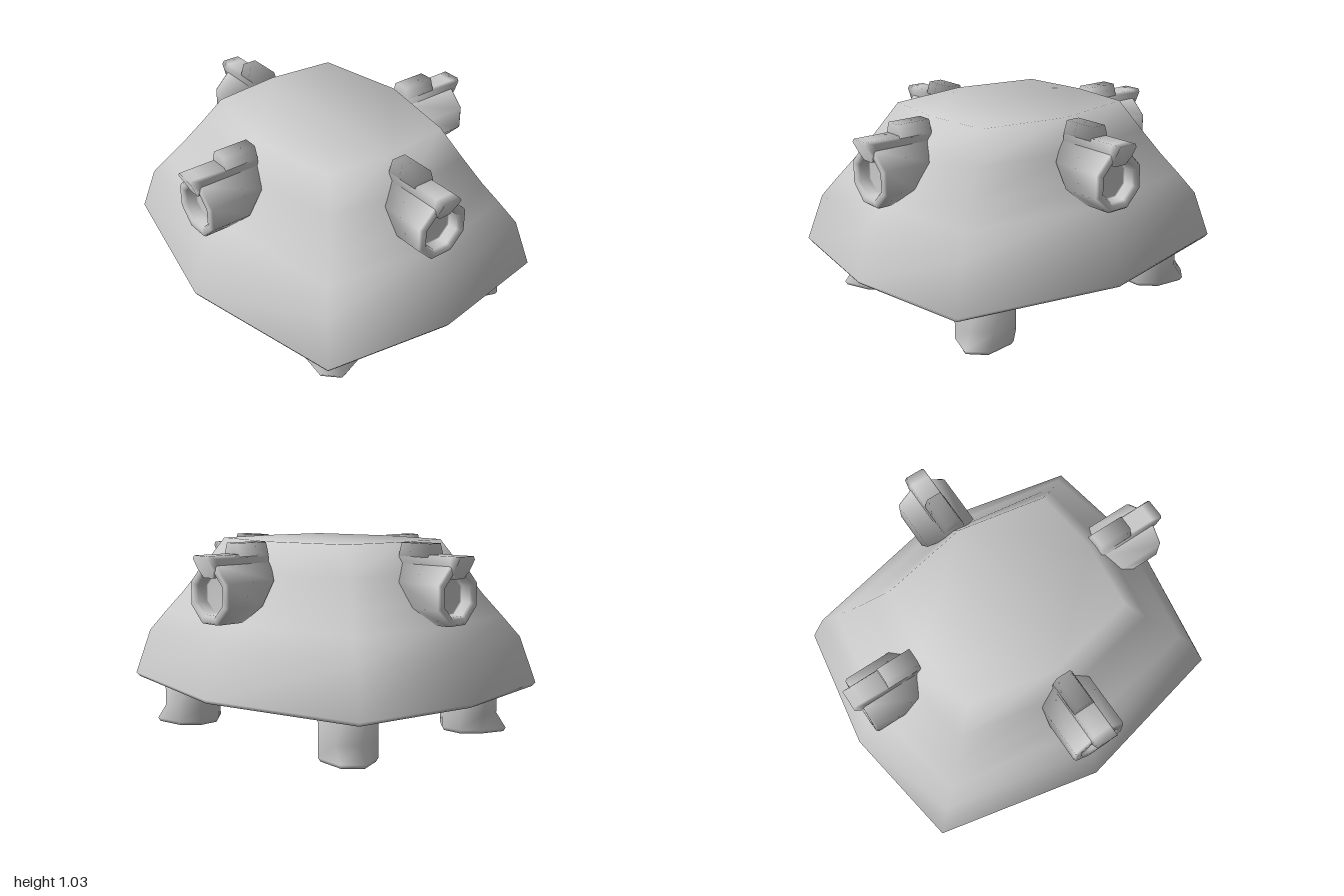
import * as THREE from 'three';

const material = new THREE.MeshStandardMaterial({ color: 0xcccccc });
const V = (x, y, z) => new THREE.Vector3(x, y, z);

// Skin a stack of eight-sided rings. The caps are corner ears plus a diamond,
// and the normals of the end rings lean towards the cap by the share capBlend.
function loft(rings, capStart, capEnd, axis, capBlend) {
  const index = [];
  for (let i = 0; i < rings.length - 1; i++) {
    for (let j = 0; j < 8; j++) {
      const a = i * 8 + j, b = i * 8 + (j + 1) % 8;
      index.push(a, b, b + 8, a, b + 8, a + 8);
    }
  }
  const geometry = new THREE.BufferGeometry().setFromPoints(rings.flat());
  geometry.setIndex(index);
  geometry.computeVertexNormals();
  const last = (rings.length - 1) * 8;
  const normals = geometry.attributes.normal;
  const addCap = (first, direction) => {
    for (const [a, b, c] of [[0, 1, 2], [2, 3, 4], [4, 5, 6], [6, 7, 0], [0, 2, 4], [0, 4, 6]]) {
      if (direction > 0) index.push(first + a, first + b, first + c);
      else index.push(first + a, first + c, first + b);
    }
    const facing = axis.clone().multiplyScalar(direction);
    for (let i = first; i < first + 8; i++) {
      const n = V().fromBufferAttribute(normals, i).lerp(facing, capBlend).normalize();
      normals.setXYZ(i, n.x, n.y, n.z);
    }
  };
  if (capStart) addCap(0, -1);
  if (capEnd) addCap(last, 1);
  geometry.setIndex(index);
  return geometry;
}

const UP = V(0, 1, 0), OUT = V(0, 0, 1);

function addMesh(parent, name, geometry) {
  const mesh = new THREE.Mesh(geometry, material);
  mesh.name = name;
  parent.add(mesh);
}

// Horizontal shell ring: side half widths X and Z, corner at (cx, cz)
const shellRing = ([y, X, Z, cx, cz]) =>
  [[0, Z], [cx, cz], [X, 0], [cx, -cz], [0, -Z], [-cx, -cz], [-X, 0], [-cx, cz]]
    .map(([x, z]) => V(x, y, z));

// Ring shaped like the shell's lower edge, scaled by k
const edgeRing = ([y, k]) => shellRing([y, 0.885 * k, k, 0.69 * k, 0.89 * k]);

function addShell(parent) {
  const profile = [
    [0.255, 0.885, 1, 0.69, 0.89],
    [0.505, 0.81, 0.925, 0.64, 0.815],
    [0.62, 0.705, 0.835, 0.575, 0.74],
    [0.73, 0.62, 0.75, 0.51, 0.665],
    [0.87, 0.545, 0.64, 0.44, 0.575],
    [1.03, 0.455, 0.515, 0.365, 0.475],
  ];
  const lip = [0.238, 0.9];
  addMesh(parent, 'shell', loft(
    [edgeRing(lip), edgeRing([0.235, 0.985]), ...profile.map(shellRing)], false, true, UP, 0.5));
  // Sloping recess in the underside
  addMesh(parent, 'underside', loft(
    [[0.5, 0.3], [0.415, 0.5], [0.34, 0.72], lip].map(edgeRing), true, false, UP, 0.5));
}

// Octagonal leg whose foot flares outwards to a toe
function addLeg(parent, name, x, z) {
  const sx = Math.sign(x), sz = Math.sign(z);
  const rings = [[0, 0.145, 1], [0.02, 0.158, 1], [0.1, 0.158, 0], [0.45, 0.158, 0]]
    .map(([y, r, toe]) => Array.from({ length: 8 }, (_, k) => {
      const a = (k + 0.5) * Math.PI / 4;
      const dx = r * Math.sin(a), dz = r * Math.cos(a);
      const push = sx * dx > 0 && sz * dz > 0 ? toe : 0;
      return V(x + dx + sx * push * 0.02, y, z + dz + sz * push * 0.05);
    }));
  addMesh(parent, name, loft(rings, true, true, UP, 0.4));
}

// Complete the right half of a rail section with its mirror image
const mirrored = (half) => [...half, ...half.map(([x, y]) => [-x, y]).reverse()];

// Cannon facing local +z with its muzzle at z = 0; the rear is cut to the shell slope
function makeCannon(name, rearLow, rearHigh) {
  const cannon = new THREE.Group();
  cannon.name = name;
  const octagon = (r, zAt) => Array.from({ length: 8 }, (_, k) => {
    const a = (k + 0.5) * Math.PI / 4;
    const y = r * Math.sin(a);
    return V(r * Math.cos(a), y, zAt(y));
  });
  const rear = (y) => THREE.MathUtils.mapLinear(y, -0.15, 0.15, rearLow, rearHigh);
  const barrel = [octagon(0.16, rear)];
  for (const [r, z] of [[0.16, -0.012], [0.15, 0], [0.122, 0], [0.11, -0.015], [0.106, -0.065], [0.1, -0.07]]) {
    barrel.push(octagon(r, () => z));
  }
  addMesh(cannon, 'barrel', loft(barrel, true, true, OUT, 0.9));

  // Long rail along the top, with an overhanging front lip
  const railSection = mirrored([[0.035, 0.085], [0.06, 0.125], [0.06, 0.18], [0.05, 0.197]]);
  const rail = [
    railSection.map(([x, y]) => V(x, y, -0.345)),
    railSection.map(([x, y]) => V(x, y, -0.01)),
    railSection.map(([x, y]) => V(x, y, y < 0.1 ? 0 : y < 0.15 ? 0.015 : 0.045)),
  ];
  addMesh(cannon, 'rail', loft(rail, true, true, OUT, 0.8));

  // Raised block at the rear of the rail
  const blockSection = mirrored([[0.05, 0.17], [0.06, 0.19], [0.051, 0.22], [0.04, 0.252]]);
  addMesh(cannon, 'railBlock', loft(
    [-0.345, -0.155].map((z) => blockSection.map(([x, y]) => V(x, y, z))), true, true, OUT, 0.8));
  return cannon;
}

export function createModel() {
  const model = new THREE.Group();
  model.name = 'armouredShell';
  addShell(model);

  addLeg(model, 'frontLeftLeg', 0.52, 0.58);
  addLeg(model, 'backLeftLeg', 0.49, -0.62);
  addLeg(model, 'frontRightLeg', -0.425, 0.58);
  addLeg(model, 'backRightLeg', -0.435, -0.63);

  // One cannon on each of the four sides
  ['front', 'left', 'back', 'right'].forEach((side, i) => {
    const lateral = i % 2 === 1;
    const name = side + 'Cannon';
    const cannon = lateral ? makeCannon(name, -0.17, -0.36) : makeCannon(name, -0.11, -0.33);
    const angle = i * Math.PI / 2, reach = lateral ? 0.845 : 0.905;
    cannon.position.set(Math.sin(angle) * reach + 0.005, 0.78, Math.cos(angle) * reach);
    cannon.rotation.y = angle;
    model.add(cannon);
  });
  return model;
}
